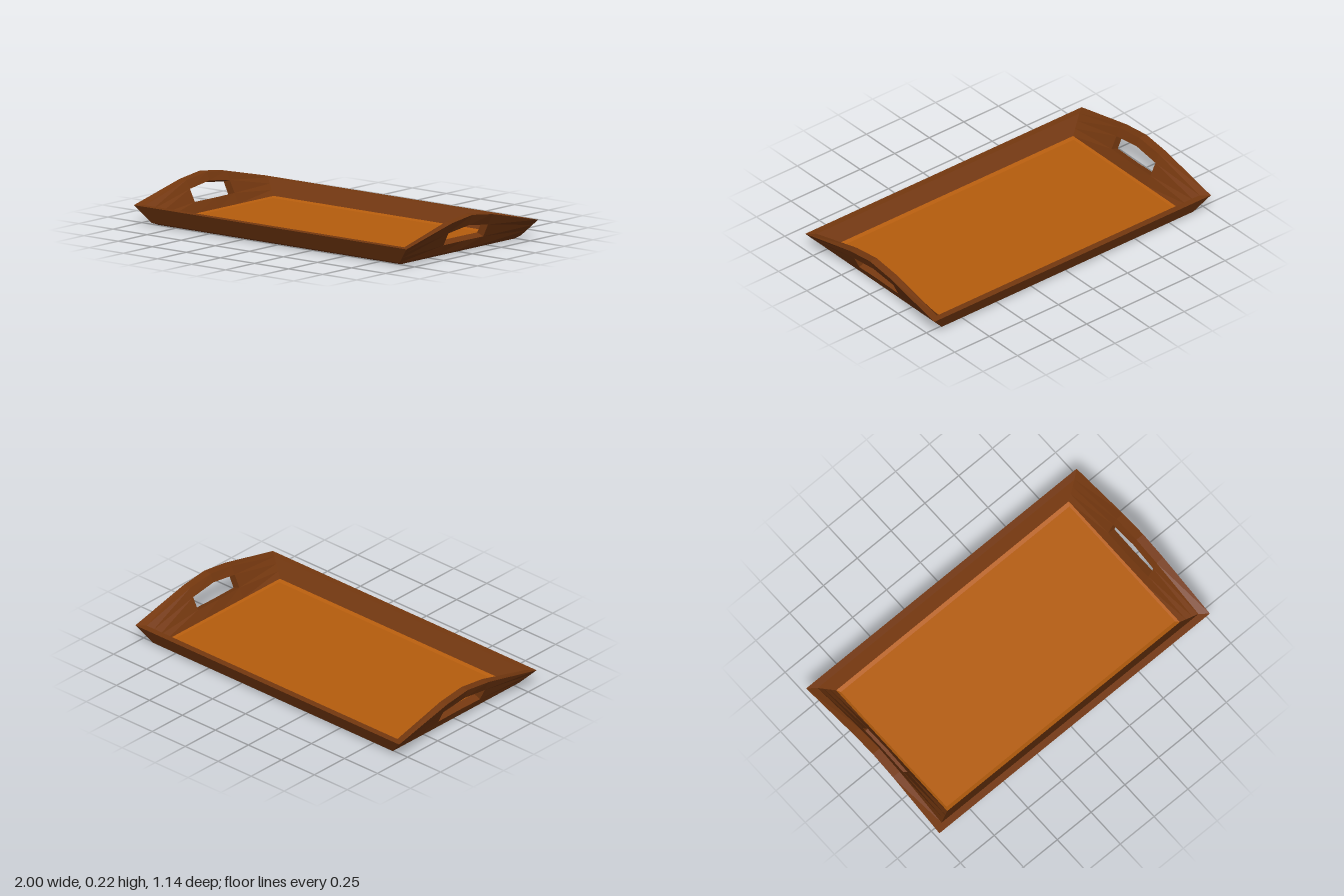
import * as THREE from 'three';

const walnut = new THREE.MeshStandardMaterial({ color: 0x75380f });
walnut.name = 'dark wood';
const oak = new THREE.MeshStandardMaterial({ color: 0xb65d0d });
oak.name = 'orange wood';

// Mesh from a list of four-cornered faces, counter-clockwise from outside
function quadMesh(name, quads, material) {
  const points = quads.flatMap(([a, b, c, d]) => [...a, ...b, ...c, ...a, ...c, ...d]);
  const geometry = new THREE.BufferGeometry();
  geometry.setAttribute('position', new THREE.Float32BufferAttribute(points, 3));
  geometry.computeVertexNormals();
  const mesh = new THREE.Mesh(geometry, material);
  mesh.name = name;
  return mesh;
}

const ring = (x, y, z) => [[-x, y, z], [x, y, z], [x, y, -z], [-x, y, -z]];
const loft = (low, high) => low.map((p, i) => [p, low[(i + 1) % 4], high[(i + 1) % 4], high[i]]);
const flip = (quad) => [...quad].reverse();

const outerFoot = ring(0.91, 0.015, 0.525);
const outerRim = ring(1, 0.11, 0.57);
const innerFoot = ring(0.86, 0.025, 0.475);
const innerRim = ring(0.95, 0.11, 0.53);

// One face of an end wall: columns of foot, hole bottom, hole top and arch top
function endFace(xFoot, yFoot, zFoot, xTop, zTop, holeLow, holeLift) {
  const topY = [0.11, 0.201, 0.222, 0.201, 0.11];
  const holeTop = [0.115, 0.138, 0.16, 0.138, 0.115];
  return [1, 0.5, 0, -0.5, -1].map((side, i) => {
    const corner = Math.abs(side) === 1;
    const za = corner ? side * zFoot : side * 0.344;
    const zb = corner ? side * zTop : side * 0.344;
    const at = (t) => [
      THREE.MathUtils.lerp(xFoot, xTop, t),
      THREE.MathUtils.lerp(yFoot, topY[i], t),
      THREE.MathUtils.lerp(za, zb, t),
    ];
    const level = (y) => at((y - yFoot) / (topY[i] - yFoot));
    return corner
      ? [at(0), at(0.33), at(0.67), at(1)]
      : [at(0), level(holeLow), level(holeTop[i] + holeLift), at(1)];
  });
}

// Leaning end wall with an arched top and a hand hole
function endWall(name) {
  const outer = endFace(0.91, 0.015, 0.525, 1, 0.57, 0.066, 0);
  const inner = endFace(0.86, 0.025, 0.475, 0.95, 0.53, 0.083, 0.015);
  const quads = [];
  for (let i = 0; i < 4; i++) {
    const across = (k) => [outer[i][k], outer[i + 1][k], inner[i + 1][k], inner[i][k]];
    const besideHole = i === 1 || i === 2;
    for (let k = 0; k < 3; k++) {
      if (besideHole && k === 1) continue;
      const patch = (f) => [f[i][k], f[i + 1][k], f[i + 1][k + 1], f[i][k + 1]];
      quads.push(patch(outer), flip(patch(inner)));
    }
    quads.push(across(3));
    if (besideHole) quads.push(across(1), flip(across(2)));
  }
  // Sides of the hand hole
  const cheek = (i) => [outer[i][1], outer[i][2], inner[i][2], inner[i][1]];
  quads.push(flip(cheek(1)), cheek(3));
  return quadMesh(name, quads, walnut);
}

// Low flared wall along the long side
function longWall(name) {
  return quadMesh(name, [
    loft(outerFoot, outerRim)[0],
    flip(loft(innerFoot, innerRim)[0]),
    loft(outerRim, innerRim)[0],
  ], walnut);
}

export function createModel() {
  const tray = new THREE.Group();
  tray.name = 'servingTray';

  const leftEnd = endWall('leftHandleWall');
  const rightEnd = endWall('rightHandleWall');
  rightEnd.rotation.y = Math.PI;
  const front = longWall('frontWall');
  const back = longWall('backWall');
  back.rotation.y = Math.PI;

  // Underside with a small bevel
  const sole = ring(0.89, 0, 0.49);
  const base = quadMesh('base', [...loft(sole, outerFoot), flip(sole)], walnut);

  // Floor panel with a shallow sloped edge
  const panel = ring(0.845, 0.018, 0.452);
  const floor = quadMesh('floorPanel', [panel, ...loft(panel, innerFoot).map(flip)], oak);

  tray.add(leftEnd, rightEnd, front, back, base, floor);
  return tray;
}
